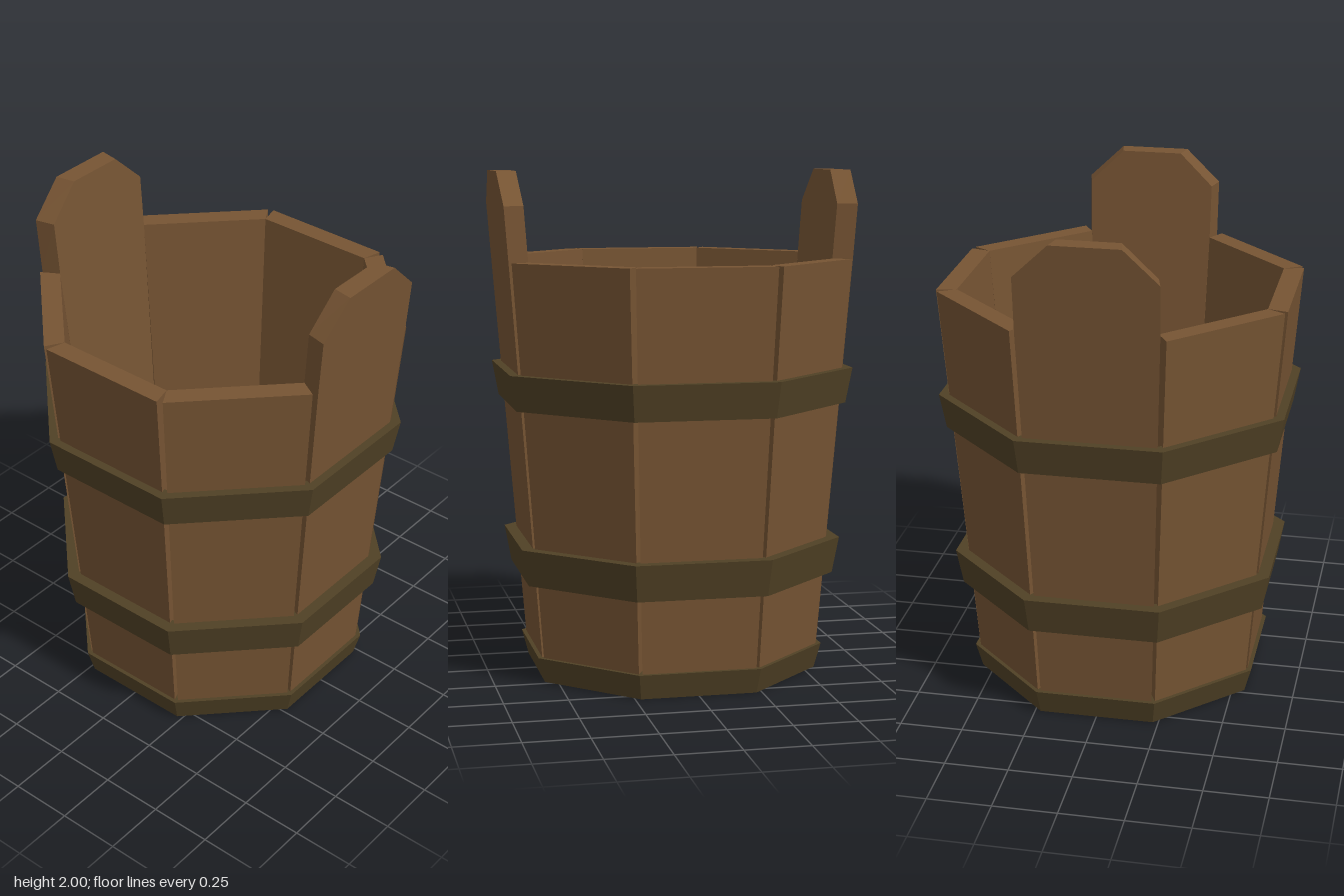
import * as THREE from 'three';

const SIDES = 8;
const toCorner = 1 / Math.cos(Math.PI / SIDES); // flat distance to corner radius

// Distance of the stave faces from the axis at height y
const outerAt = (y) => 0.552 + 0.0785 * y;
const innerAt = (y) => 0.477 + 0.0765 * y;

// Flat-faced ring or solid swept round eight sides from [flat distance, y] pairs
function octagon(profile) {
  const points = profile.map(([r, y]) => new THREE.Vector2(r * toCorner, y));
  const geometry = new THREE.LatheGeometry(points, SIDES, Math.PI / SIDES).toNonIndexed();
  geometry.computeVertexNormals();
  return geometry;
}

// Leaning plank facing +z, from rows of [y, outer half width, inner half width]
function stave(rows) {
  const corner = (side, [y, wo, wi]) => ({
    front: [side * wo, y, outerAt(y)],
    back: [side * wi, y, innerAt(y)],
  });
  const loop = [
    ...rows.map((r) => corner(1, r)),
    ...[...rows].reverse().map((r) => corner(-1, r)),
  ];
  const pos = [];
  const tri = (a, b, c) => pos.push(...a, ...b, ...c);
  loop.forEach((p, i) => {
    const q = loop[(i + 1) % loop.length];
    tri(p.front, p.back, q.back); // edge faces
    tri(p.front, q.back, q.front);
    if (i > 0 && i < loop.length - 1) {
      tri(loop[0].front, p.front, q.front);
      tri(loop[0].back, q.back, p.back);
    }
  });
  const geometry = new THREE.BufferGeometry();
  geometry.setAttribute('position', new THREE.Float32BufferAttribute(pos, 3));
  geometry.computeVertexNormals();
  return geometry;
}

export function createModel() {
  const wood = new THREE.MeshStandardMaterial({ color: 0x765433 });
  wood.name = 'stave wood';
  const band = new THREE.MeshStandardMaterial({ color: 0x504125 });
  band.name = 'dark olive band';

  const bucket = new THREE.Group();
  bucket.name = 'bucket';
  const add = (name, geometry, material) => {
    const mesh = new THREE.Mesh(geometry, material);
    mesh.name = name;
    bucket.add(mesh);
    return mesh;
  };

  // Staves: the two at the sides rise into bevelled handles
  const foot = [0.08, 0.224, 0.197];
  const rim = [1.655, 0.27, 0.25];
  const plain = stave([foot, rim]);
  const tall = stave([foot, rim, [1.87, 0.272, 0.253], [2, 0.135, 0.12]]);
  for (let i = 0; i < SIDES; i++) {
    const isHandle = i % 4 === 2;
    const mesh = add(isHandle ? 'handleStave' : 'stave', isHandle ? tall : plain, wood);
    mesh.rotation.y = (i * Math.PI * 2) / SIDES;
  }

  // Solid base, whose top is the floor inside
  add('base', octagon([[0, 0], [0.55, 0], [0.576, 0.1], [0, 0.1]]), band);

  // Hoops flaring slightly outwards: bottom y, top y, bottom and top distance
  for (const [y0, y1, r0, r1] of [[0.395, 0.54, 0.614, 0.64], [1.085, 1.225, 0.657, 0.682]]) {
    const inner0 = outerAt(y0) - 0.02;
    const inner1 = outerAt(y1) - 0.02;
    add('hoop', octagon([[inner0, y0], [r0, y0], [r1, y1], [inner1, y1], [inner0, y0]]), band);
  }
  return bucket;
}
